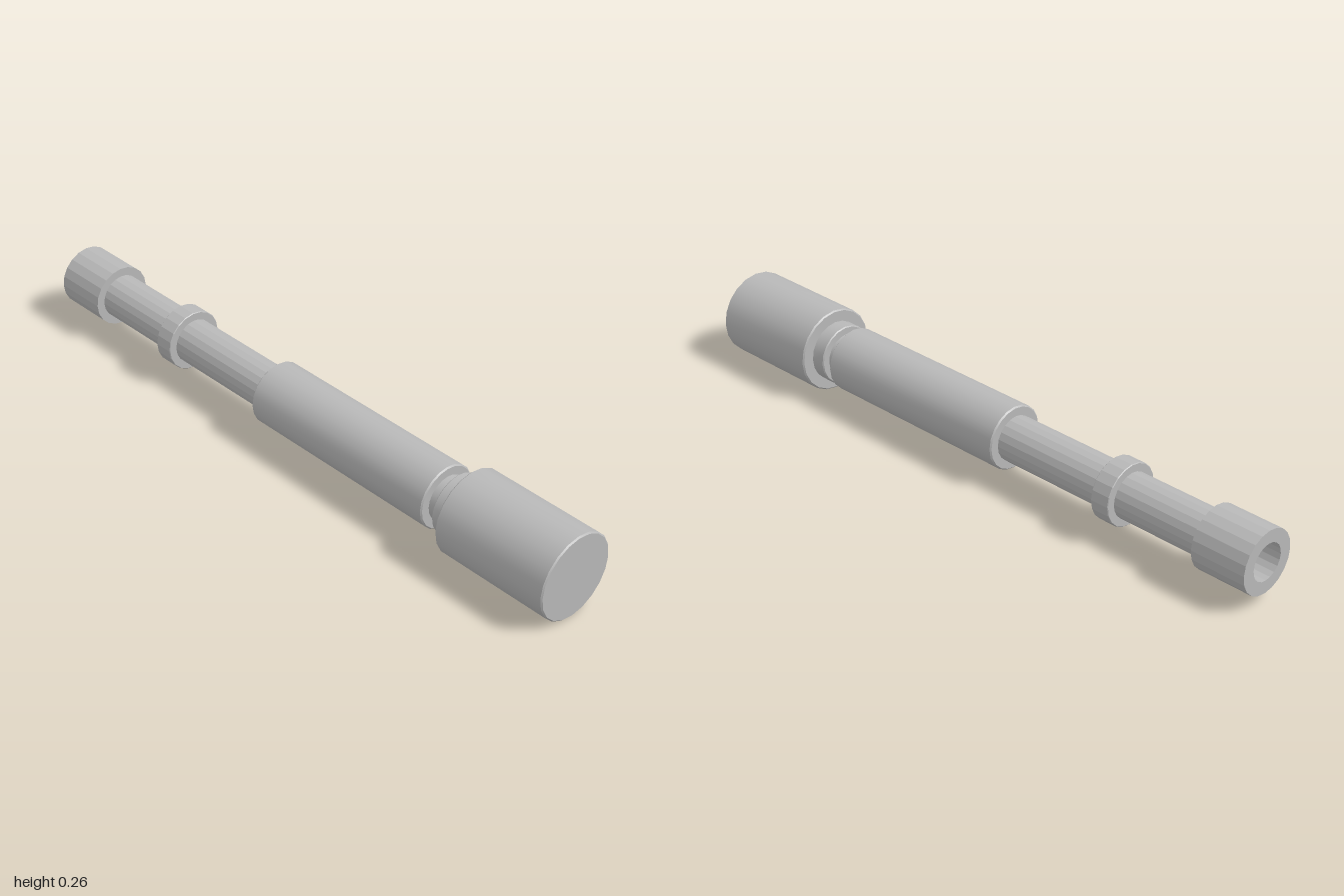
import * as THREE from 'three';
import { toCreasedNormals } from 'three/addons/utils/BufferGeometryUtils.js';

const SIDES = 20;
const AXIS_Y = 0.129;

export function createModel() {
  const group = new THREE.Group();
  group.name = 'spyglass';
  const grey = new THREE.MeshStandardMaterial({ color: 0xb8b8b8 });
  grey.name = 'grey';

  // Turned part along z; profile is [radius, z] from back to front
  function turned(name, profile, smooth) {
    const points = profile.map(([r, z]) => new THREE.Vector2(r, z));
    const lathe = new THREE.LatheGeometry(points, SIDES).rotateX(Math.PI / 2);
    const mesh = new THREE.Mesh(toCreasedNormals(lathe, smooth ? 0.45 : 0.1), grey);
    mesh.name = name;
    mesh.position.y = AXIS_Y;
    group.add(mesh);
  }

  // Closed cylinder with a small chamfer at both rims
  const barrel = (r, back, front, c = 0.004) => [
    [0, back], [r - c, back], [r, back + c],
    [r, front - c], [r - c, front], [0, front],
  ];

  // Wide front housing, collar and neck
  turned('frontHousing', barrel(0.129, 0.63, 1), true);
  turned('collar', barrel(0.092, 0.583, 0.632, 0.003), true);
  turned('neck', [[0.068, 0.54], [0.068, 0.59]], true);

  // Outer sleeve and the inner tube sliding in it
  turned('sleeve', barrel(0.097, -0.12, 0.55), true);
  turned('innerTube', [[0.068, -0.84], [0.068, -0.11]], false);
  turned('ring', barrel(0.093, -0.547, -0.487, 0.002), false);

  // Eyepiece with a recessed round opening
  turned('eyepiece', [
    [0, -0.92], [0.055, -0.92], [0.055, -1], [0.094, -1],
    [0.094, -0.83], [0, -0.83],
  ], false);

  return group;
}
